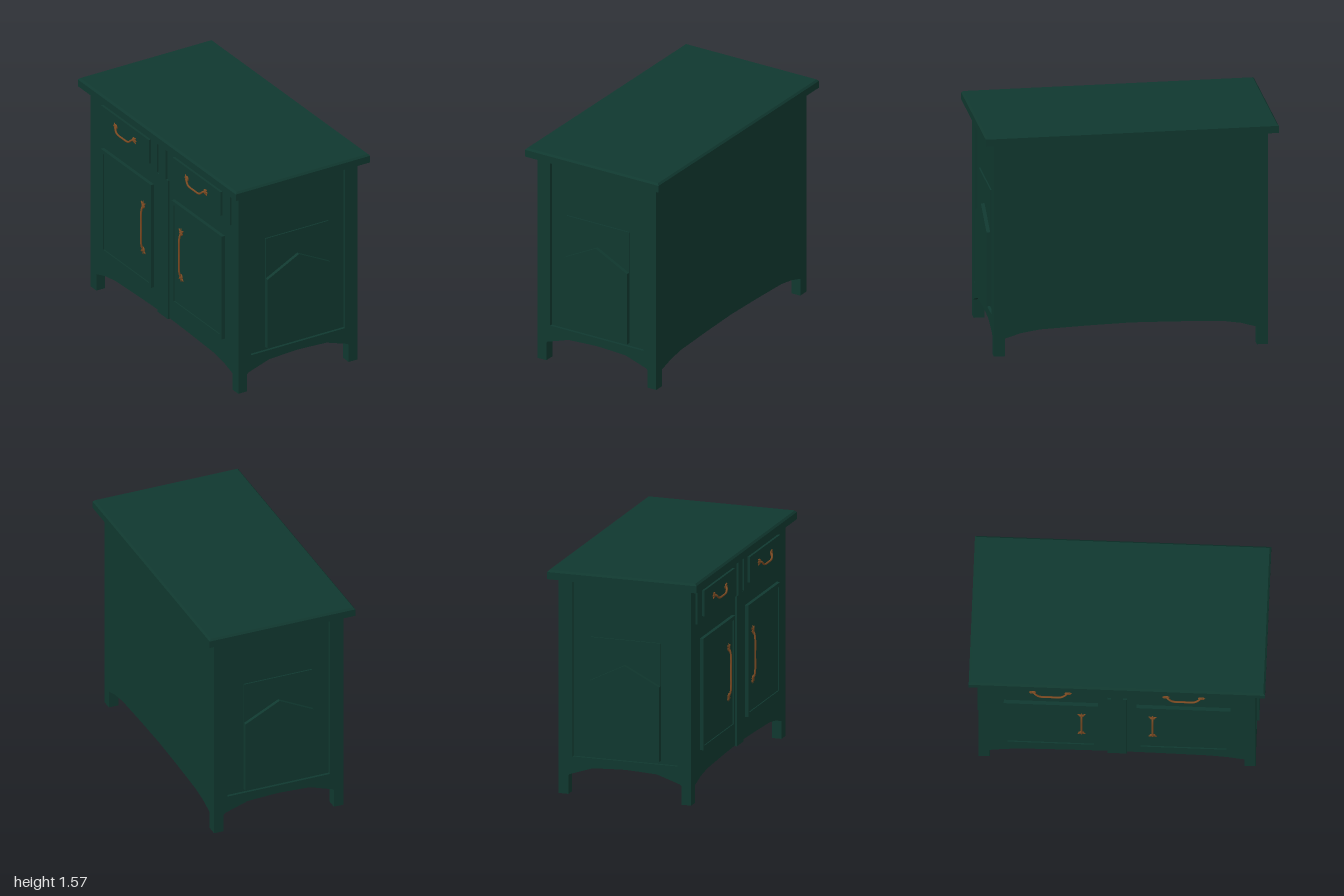
import * as THREE from 'three';

const paint = new THREE.MeshStandardMaterial({ color: 0x10382f });
paint.name = 'dark green paint';
const copper = new THREE.MeshStandardMaterial({ color: 0x7a4a22 });
copper.name = 'aged copper';

function add(parent, name, geometry, material = paint) {
  const mesh = new THREE.Mesh(geometry, material);
  mesh.name = name;
  parent.add(mesh);
  return mesh;
}

// Box given by its limits
function block(parent, name, x0, x1, y0, y1, z0, z1) {
  const mesh = add(parent, name, new THREE.BoxGeometry(x1 - x0, y1 - y0, z1 - z0));
  mesh.position.set((x0 + x1) / 2, (y0 + y1) / 2, (z0 + z1) / 2);
  return mesh;
}

function rectPath(x0, x1, y0, y1, Type = THREE.Shape) {
  return new Type([[x0, y0], [x1, y0], [x1, y1], [x0, y1]].map(p => new THREE.Vector2(...p)));
}

function extrude(parent, name, shape, z0, z1) {
  const mesh = add(parent, name, new THREE.ExtrudeGeometry(shape, { depth: z1 - z0, bevelEnabled: false }));
  mesh.position.z = z0;
  return mesh;
}

// Wall with feet at both ends and an arched lower edge; arch runs from foot to middle
function archedWall(half, arch) {
  const right = [[half, 0], [arch[0][0], 0], ...arch];
  const left = right.slice(0, -1).reverse().map(([x, y]) => [-x, y]);
  return new THREE.Shape([...right, ...left, [-half, 1.51], [half, 1.51]].map(p => new THREE.Vector2(...p)));
}

// Bowed pull along local x, standing out along +z, drooping along -y
function makePull(name, halfLength, reach, droop, leaf) {
  const pull = new THREE.Group();
  pull.name = name;
  const h = halfLength;
  const curve = new THREE.CatmullRomCurve3([
    [-h, 0, 0], [-h * 0.9, -droop * 0.1, reach * 0.6], [-h * 0.65, -droop * 0.8, reach],
    [0, -droop, reach], [h * 0.65, -droop * 0.8, reach], [h * 0.9, -droop * 0.1, reach * 0.6], [h, 0, 0],
  ].map(p => new THREE.Vector3(...p)));
  add(pull, 'pullBar', new THREE.TubeGeometry(curve, 32, 0.007, 8), copper);
  for (const s of [-1, 1]) {
    const rosette = add(pull, 'rosette', new THREE.SphereGeometry(0.02, 12, 8), copper);
    rosette.scale.z = 0.45;
    rosette.position.x = s * h;
    // Fan of small leaves behind each rosette
    for (const a of [-0.8, 0, 0.8]) {
      const petal = add(pull, 'leaf', new THREE.SphereGeometry(1, 8, 6), copper);
      petal.scale.set(leaf, 0.007, 0.006);
      petal.rotation.z = a;
      petal.position.set(s * h + s * Math.cos(a) * leaf * 0.8, s * Math.sin(a) * leaf * 0.8, 0);
    }
  }
  return pull;
}

// Recessed end with a raised board and a pointed flap
function makeEnd() {
  const end = new THREE.Group();
  end.name = 'endWall';
  const frame = archedWall(0.475, [[0.405, 0.13], [0.395, 0.14], [0.23, 0.195], [0.1, 0.202], [0, 0.206]]);
  frame.holes.push(rectPath(-0.375, 0.375, 0.265, 1.485, THREE.Path));
  extrude(end, 'endFrame', frame, 0.885, 0.935);
  block(end, 'raisedBoard', -0.25, 0.25, 0.287, 1.11, 0.91, 0.925);
  const flap = new THREE.Shape([[-0.25, 0.287], [0.25, 0.287], [0.25, 0.81], [0, 0.937], [-0.25, 0.81]]
    .map(p => new THREE.Vector2(...p)));
  extrude(end, 'pointedFlap', flap, 0.92, 0.95);
  return end;
}

// Drawers and doors, built facing +z
function makeDoorSide() {
  const side = new THREE.Group();
  side.name = 'doorSide';
  block(side, 'centreStile', -0.065, 0.065, 0.19, 1.24, 0.46, 0.488);
  block(side, 'upperCentreStile', -0.04, 0.04, 1.24, 1.495, 0.46, 0.491);
  for (const s of [-1, 1]) {
    const span = (a, b) => (s > 0 ? [a, b] : [-b, -a]);
    // Drawer
    block(side, 'drawerSurround', ...span(0.075, 0.85), 1.245, 1.495, 0.46, 0.488);
    block(side, 'drawerFront', ...span(0.15, 0.755), 1.28, 1.46, 0.46, 0.505);
    const drawerPull = makePull('drawerPull', 0.115, 0.019, 0.034, 0.018);
    drawerPull.position.set(s * 0.45, 1.38, 0.506);
    side.add(drawerPull);
    // Door
    const moulding = rectPath(...span(0.13, 0.765), 0.345, 1.125);
    moulding.holes.push(rectPath(...span(0.157, 0.738), 0.372, 1.098, THREE.Path));
    extrude(side, 'doorMoulding', moulding, 0.46, 0.5);
    block(side, 'doorPanel', ...span(0.15, 0.745), 0.365, 1.105, 0.46, 0.492);
    const doorPull = makePull('doorPull', 0.165, 0.017, 0, 0.022);
    doorPull.rotation.z = Math.PI / 2;
    doorPull.position.set(s * 0.24, 0.755, 0.493);
    side.add(doorPull);
  }
  return side;
}

export function createModel() {
  const model = new THREE.Group();
  model.name = 'cabinet';

  block(model, 'core', -0.46, 0.46, 0.26, 1.51, -0.915, 0.915);

  // Long walls and ends, each as a pair
  const longArch = [[0.86, 0.125], [0.75, 0.158], [0.62, 0.178], [0.3, 0.19], [0, 0.197]];
  for (const s of [-1, 1]) {
    const wall = new THREE.Group();
    wall.name = 'longWall';
    extrude(wall, 'longPanel', archedWall(0.935, longArch), 0.425, 0.475);
    wall.rotation.y = s * Math.PI / 2;
    model.add(wall);
    const end = makeEnd();
    end.rotation.y = s > 0 ? 0 : Math.PI;
    model.add(end);
    // Square feet
    for (const t of [-1, 1]) {
      const foot = add(model, 'foot', new THREE.BoxGeometry(0.07, 0.26, 0.075));
      foot.position.set(s * 0.44, 0.13, t * 0.8975);
    }
  }

  const doors = makeDoorSide();
  doors.rotation.y = -Math.PI / 2;
  model.add(doors);

  // Worktop with a chamfered upper edge
  block(model, 'worktop', -0.535, 0.535, 1.507, 1.557, -1, 1);
  const chamfer = new THREE.BoxGeometry(1.07, 0.013, 2).toNonIndexed();
  const pos = chamfer.attributes.position;
  for (let i = 0; i < pos.count; i++) {
    if (pos.getY(i) > 0) {
      pos.setX(i, pos.getX(i) - Math.sign(pos.getX(i)) * 0.012);
      pos.setZ(i, pos.getZ(i) - Math.sign(pos.getZ(i)) * 0.012);
    }
  }
  chamfer.computeVertexNormals();
  add(model, 'worktopChamfer', chamfer).position.y = 1.5635;

  return model;
}
